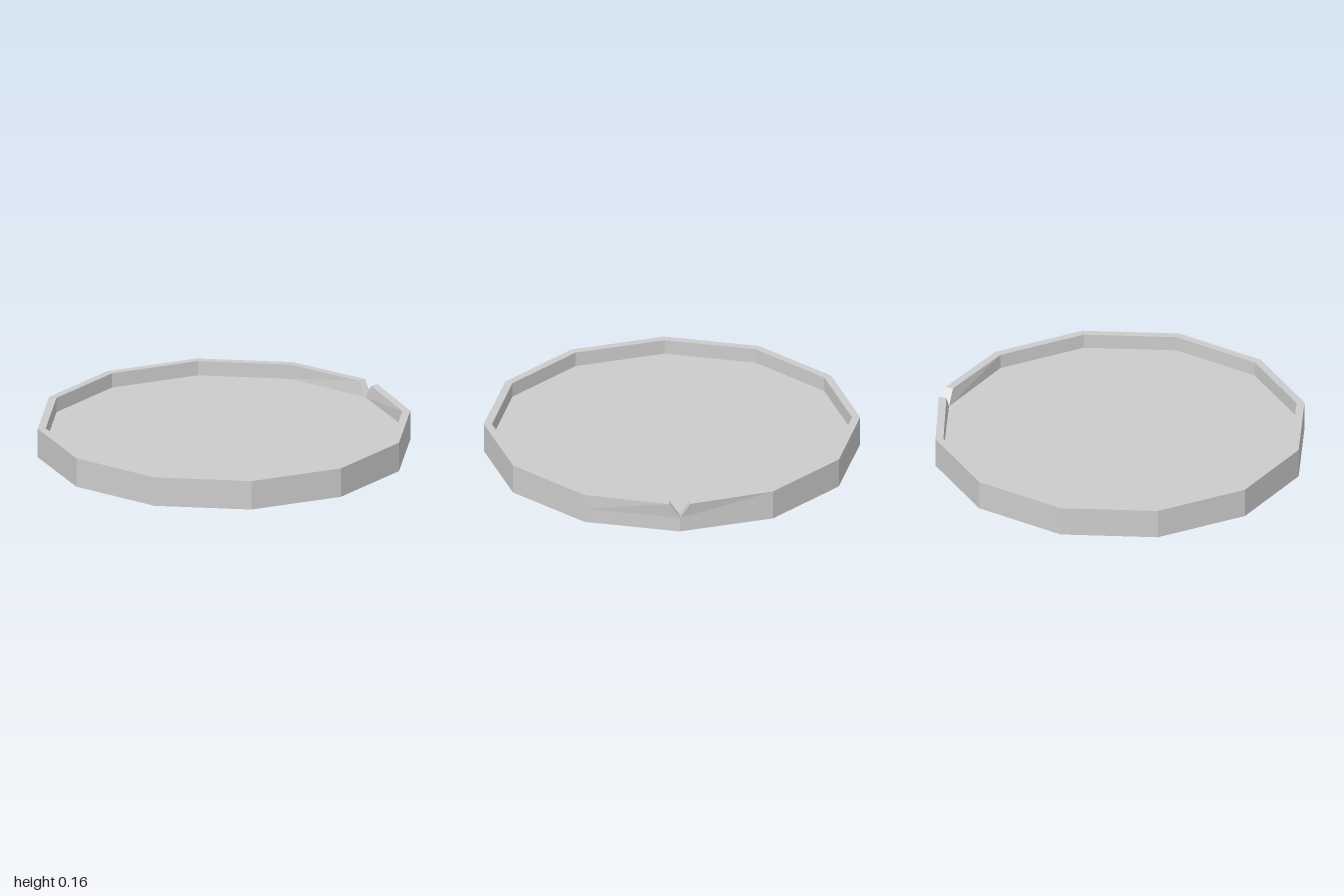
import * as THREE from 'three';

const SIDES = 12, HEIGHT = 0.16, FLOOR = 0.08, INNER = 0.957, NOTCH = 0.055;

// Ring of corners starting and ending at the back; split spreads the two back ends apart
function ring(radius, y, split = 0) {
  return Array.from({ length: SIDES + 1 }, (_, k) => {
    const a = (k / SIDES) * Math.PI * 2;
    const p = new THREE.Vector3(Math.sin(a) * radius, y, -Math.cos(a) * radius);
    if (k === 0) p.x = split;
    if (k === SIDES) p.x = -split;
    if (split && k % SIDES === 0) p.z += 0.004;
    return p;
  });
}

const quad = (a, b, c, d) => [a, b, c, a, c, d];

// Wall of quads between two rings
function band(lower, upper) {
  const out = [];
  for (let k = 0; k < SIDES; k++) {
    out.push(...quad(lower[k + 1], lower[k], upper[k], upper[k + 1]));
  }
  return out;
}

// Flat disc filling a ring
function cap(points, up) {
  const centre = new THREE.Vector3(0, points[0].y, 0);
  const out = [];
  for (let k = 0; k < SIDES; k++) {
    const a = points[k], b = points[k + 1];
    out.push(centre, up ? b : a, up ? a : b);
  }
  return out;
}

function part(name, points, material) {
  const geometry = new THREE.BufferGeometry().setFromPoints(points);
  geometry.computeVertexNormals();
  const mesh = new THREE.Mesh(geometry, material);
  mesh.name = name;
  return mesh;
}

export function createModel() {
  const group = new THREE.Group();
  group.name = 'tray';
  const grey = new THREE.MeshStandardMaterial({ color: 0xcccccc });
  grey.name = 'light grey';
  grey.flatShading = true;

  const outerBottom = ring(1, 0);
  const outerMid = ring(1, FLOOR);
  const outerTop = ring(1, HEIGHT, NOTCH);
  const innerTop = ring(INNER, HEIGHT, NOTCH);
  const innerFloor = ring(INNER, FLOOR);
  const n = SIDES;

  // Solid base with the tray floor on top
  group.add(part('base', [...cap(outerBottom, false), ...band(outerBottom, outerMid)], grey));
  group.add(part('floor', cap(innerFloor, true), grey));

  // Raised rim, open at the back
  group.add(part('rim', [
    ...band(outerMid, outerTop),
    ...band(outerTop, innerTop),
    ...band(innerTop, innerFloor),
  ], grey));

  // Sloping sides of the V-shaped pouring notch
  group.add(part('notch', [
    ...quad(outerMid[0], innerFloor[0], innerTop[0], outerTop[0]),
    ...quad(outerTop[n], innerTop[n], innerFloor[n], outerMid[n]),
  ], grey));

  return group;
}
